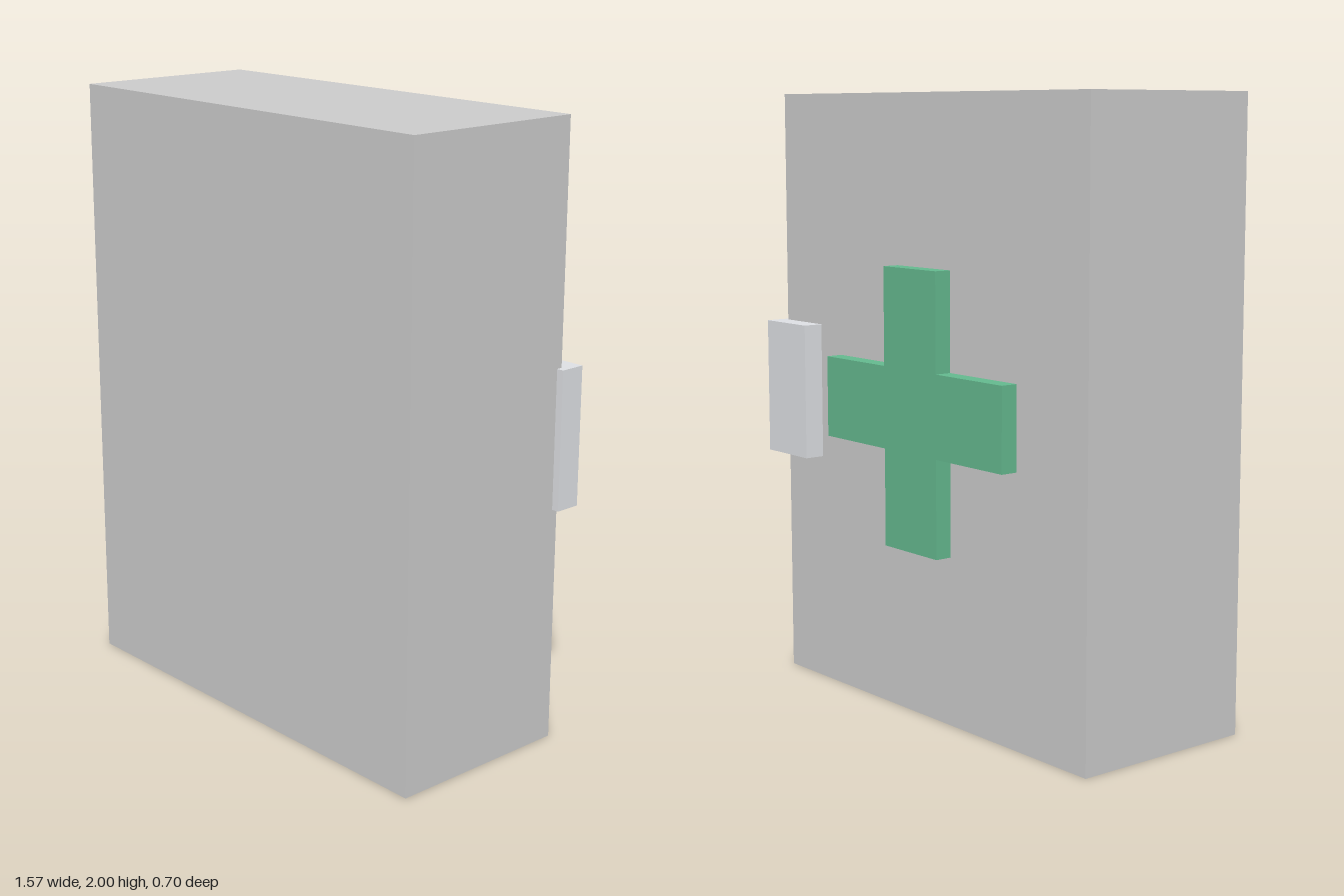
import * as THREE from 'three';

export function createModel() {
  const model = new THREE.Group();
  const grey = new THREE.MeshStandardMaterial({ color: 0xcccccc });
  const green = new THREE.MeshStandardMaterial({ color: 0x64b98f });
  const silver = new THREE.MeshStandardMaterial({ color: 0xdee0e4 });

  // Box spanning two opposite corners
  function block(name, min, max, material) {
    const [w, h, d] = max.map((v, i) => v - min[i]);
    const mesh = new THREE.Mesh(new THREE.BoxGeometry(w, h, d), material);
    mesh.position.set(...max.map((v, i) => (v + min[i]) / 2));
    mesh.name = name;
    model.add(mesh);
  }

  // Cabinet body and the handle wrapping its door edge
  block('cabinet', [-0.784, 0, -0.284], [0.758, 2, 0.352], grey);
  block('handle', [0.556, 0.777, -0.352], [0.782, 1.23, -0.264], silver);

  // Raised cross on the door: outline from one quarter turned four times
  const arm = 0.453, half = 0.134;
  const outline = [];
  for (let i = 0; i < 4; i++) {
    const turn = (i * Math.PI) / 2;
    for (const [x, y] of [[half, half], [half, arm], [-half, arm]]) {
      outline.push(new THREE.Vector2(x, y).rotateAround(new THREE.Vector2(), turn));
    }
  }
  const cross = new THREE.Mesh(
    new THREE.ExtrudeGeometry(new THREE.Shape(outline), { depth: 0.058, bevelEnabled: false }),
    green
  );
  cross.position.set(-0.013, 1.003, -0.341);
  cross.name = 'cross';
  model.add(cross);

  return model;
}
